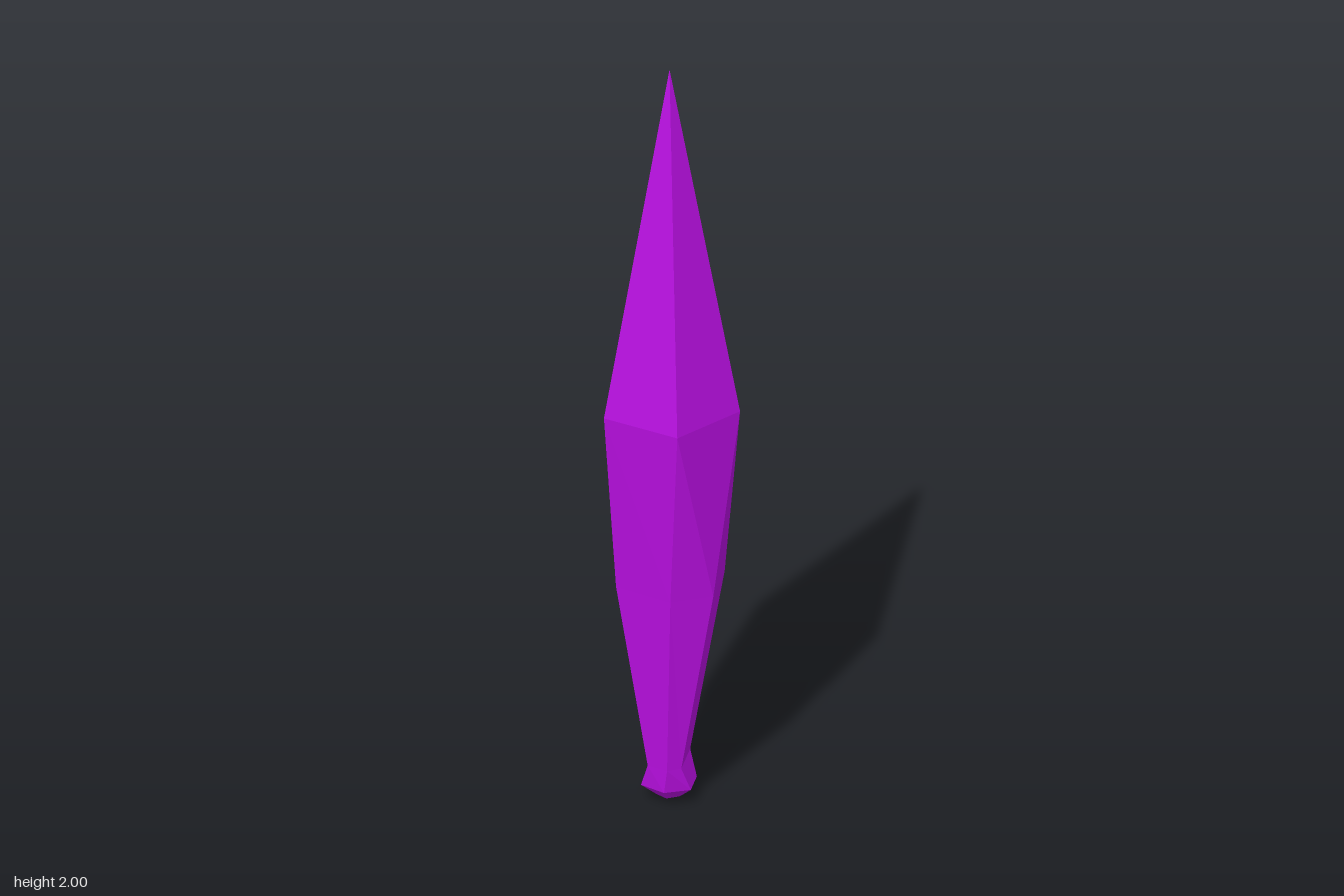
import * as THREE from 'three';

// Each ring: height, then three [x, z] corners of its +z half, from the +x side round to the -x side.
const CX = -0.017;
const RINGS = [
  [0.0, [CX, 0], [CX, 0], [CX, 0]],
  [0.015, [0.012, 0.018], [CX, 0.036], [-0.046, 0.018]],
  [0.045, [0.043, 0.035], [CX, 0.064], [-0.08, 0.035]],
  [0.11, [0.023, 0.052], [-0.008, 0.071], [-0.06, 0.052]],
  [0.6, [0.105, 0.066], [0.01, 0.118], [-0.135, 0.066]],
  [1.08, [0.157, 0], [0.037, 0.165], [-0.157, 0.103]],
  [2.0, [CX, 0], [CX, 0], [CX, 0]],
];

// Mirror the half ring across z = 0 into a closed loop of six corners.
function loop([y, ...half]) {
  const front = half.map(([x, z]) => new THREE.Vector3(x, y, z));
  const back = half.map(([x, z]) => new THREE.Vector3(x, y, -z)).reverse();
  return [...front, ...back];
}

function shardGeometry() {
  const positions = [];
  const triangle = (a, b, c) => {
    if (new THREE.Triangle(a, b, c).getArea() < 1e-7) return; // merged corners
    for (const p of [a, b, c]) positions.push(p.x, p.y, p.z);
  };
  const loops = RINGS.map(loop);
  for (let r = 0; r < loops.length - 1; r++) {
    const low = loops[r], up = loops[r + 1];
    for (let i = 0; i < 6; i++) {
      const j = (i + 1) % 6;
      // The diagonal is mirrored between the two halves.
      if (i < 3) {
        triangle(low[i], up[j], low[j]);
        triangle(low[i], up[i], up[j]);
      } else {
        triangle(low[i], up[i], low[j]);
        triangle(up[i], up[j], low[j]);
      }
    }
  }
  const geometry = new THREE.BufferGeometry();
  geometry.setAttribute('position', new THREE.Float32BufferAttribute(positions, 3));
  geometry.computeVertexNormals();
  return geometry;
}

export function createModel() {
  const group = new THREE.Group();
  group.name = 'crystalShard';
  // Faceted spike: five-sided point, six-sided shank, rounded foot.
  const material = new THREE.MeshStandardMaterial({ color: 0xb80fe0, flatShading: true });
  const shard = new THREE.Mesh(shardGeometry(), material);
  shard.name = 'shard';
  group.add(shard);
  return group;
}
